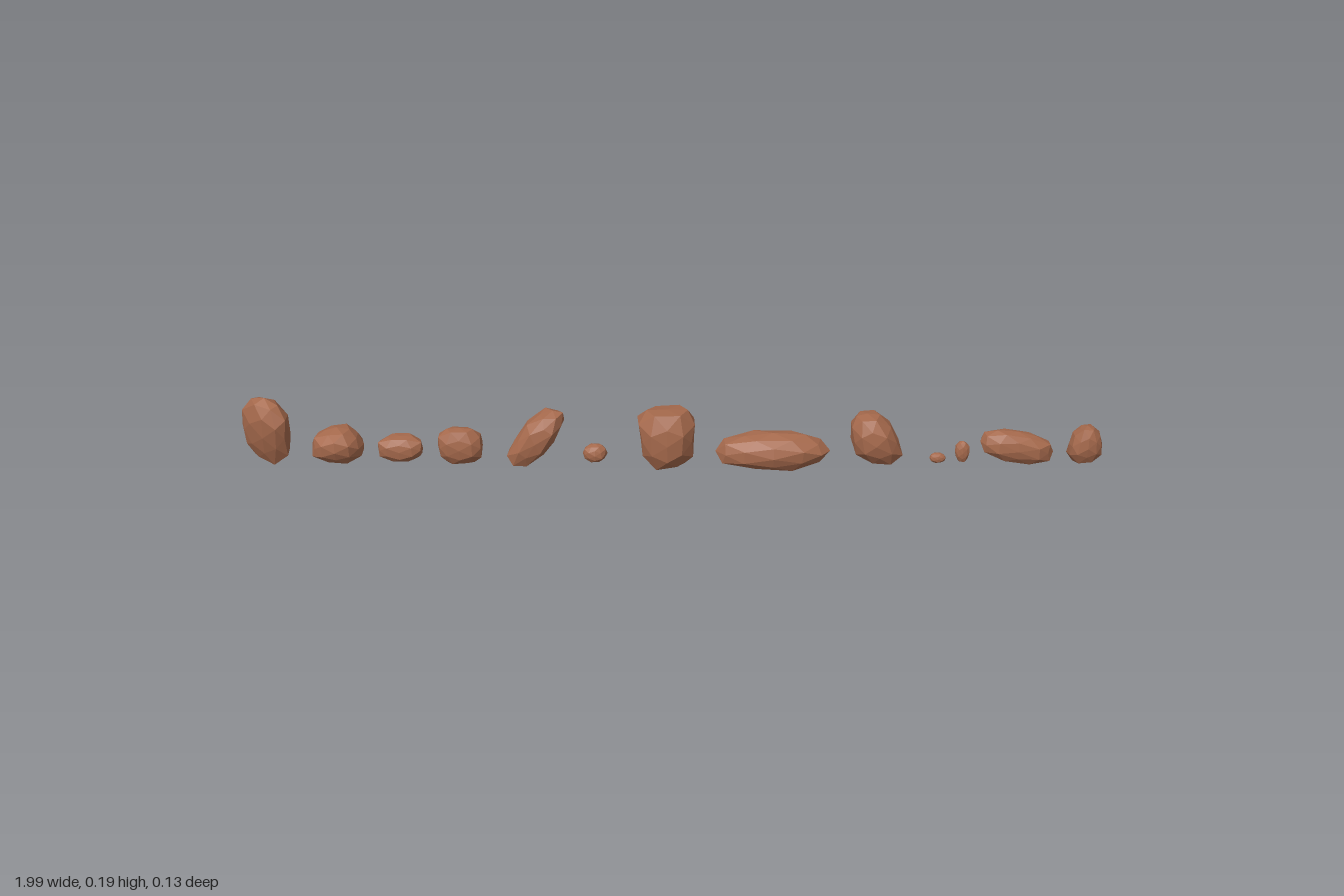
import * as THREE from 'three';
import { mergeVertices } from 'three/addons/utils/BufferGeometryUtils.js';

function seeded(seed) {
  let s = seed;
  return () => (s = (s * 16807) % 2147483647) / 2147483647;
}

// Chipped superellipsoid: a higher box value is squarer. The other options bend the form:
// skew (x by y), slope (y by x), leanX and leanY (z by x and y), taper (wider top), pinch (waist).
function stoneGeometry(seed, [hx, hy, hz], options) {
  const { box, skew = 0, slope = 0, leanX = 0, leanY = 0, taper = 0, pinch = 0 } = options;
  const random = seeded(seed);
  let geometry = new THREE.IcosahedronGeometry(1, 1);
  geometry.deleteAttribute('uv');
  geometry.deleteAttribute('normal');
  geometry = mergeVertices(geometry, 1e-3);

  const position = geometry.attributes.position;
  const p = new THREE.Vector3();
  for (let i = 0; i < position.count; i++) {
    p.fromBufferAttribute(position, i);
    const [ax, ay, az] = p.toArray().map(Math.abs);
    const onAxis = Math.max(ax, ay, az) > 0.999;
    const chip = onAxis ? 1 : 1.02 - 0.13 * random();
    p.multiplyScalar(chip / (ax ** box + ay ** box + az ** box) ** (1 / box));
    const x = p.x * hx * (1 + taper * p.y) * (1 - pinch * (1 - p.y * p.y));
    const y = p.y * hy;
    position.setXYZ(i, x + skew * y, y + slope * x, p.z * hz + leanX * x + leanY * y);
  }
  const flat = geometry.toNonIndexed();
  flat.computeVertexNormals();
  return flat;
}

export function createModel() {
  const model = new THREE.Group();
  model.name = 'stoneRow';
  const material = new THREE.MeshStandardMaterial({ color: 0xa5694c, flatShading: true });
  material.name = 'reddish brown stone';

  // Places one stone by its centre and half sizes
  const stone = (name, at, halfSize, options) => {
    const seed = 101 + model.children.length * 7919;
    const mesh = new THREE.Mesh(stoneGeometry(seed, halfSize, options), material);
    mesh.name = name;
    mesh.position.set(...at);
    model.add(mesh);
  };

  // Left half of the row, from the tall end stone inwards
  stone('tallEndStone', [-0.937, 0.1, -0.005], [0.062, 0.09, 0.046], { box: 2.6, skew: 0.08, leanX: 0.5, leanY: 0.2 });
  stone('roundStone', [-0.773, 0.066, 0], [0.06, 0.043, 0.052], { box: 2.7, taper: -0.12 });
  stone('saddleStone', [-0.628, 0.057, 0.003], [0.052, 0.031, 0.028], { box: 4 });
  stone('blockStone', [-0.489, 0.062, 0], [0.052, 0.045, 0.032], { box: 3.5 });
  stone('leaningStone', [-0.313, 0.082, 0], [0.046, 0.069, 0.041], { box: 3.2, skew: 0.6 });
  stone('leftPebble', [-0.176, 0.042, 0], [0.029, 0.023, 0.02], { box: 2.4 });

  // Centre and right half
  stone('centreStone', [-0.008, 0.085, 0.003], [0.073, 0.07, 0.056], { box: 5, taper: 0.08, pinch: 0.15 });
  stone('longStone', [0.238, 0.047, 0], [0.134, 0.046, 0.048], { box: 2.4 });
  stone('wedgeStone', [0.473, 0.08, 0], [0.055, 0.063, 0.05], { box: 3, skew: -0.3, taper: -0.15 });
  stone('flatPebble', [0.618, 0.044, 0.03], [0.019, 0.013, 0.011], { box: 2.5 });
  stone('uprightPebble', [0.674, 0.06, 0.03], [0.017, 0.027, 0.012], { box: 2.6 });
  stone('slopedStone', [0.799, 0.073, 0.03], [0.085, 0.038, 0.031], { box: 2.9, slope: -0.15 });
  stone('smallEndStone', [0.957, 0.081, 0.031], [0.038, 0.046, 0.031], { box: 3.2, taper: -0.2 });

  return model;
}
